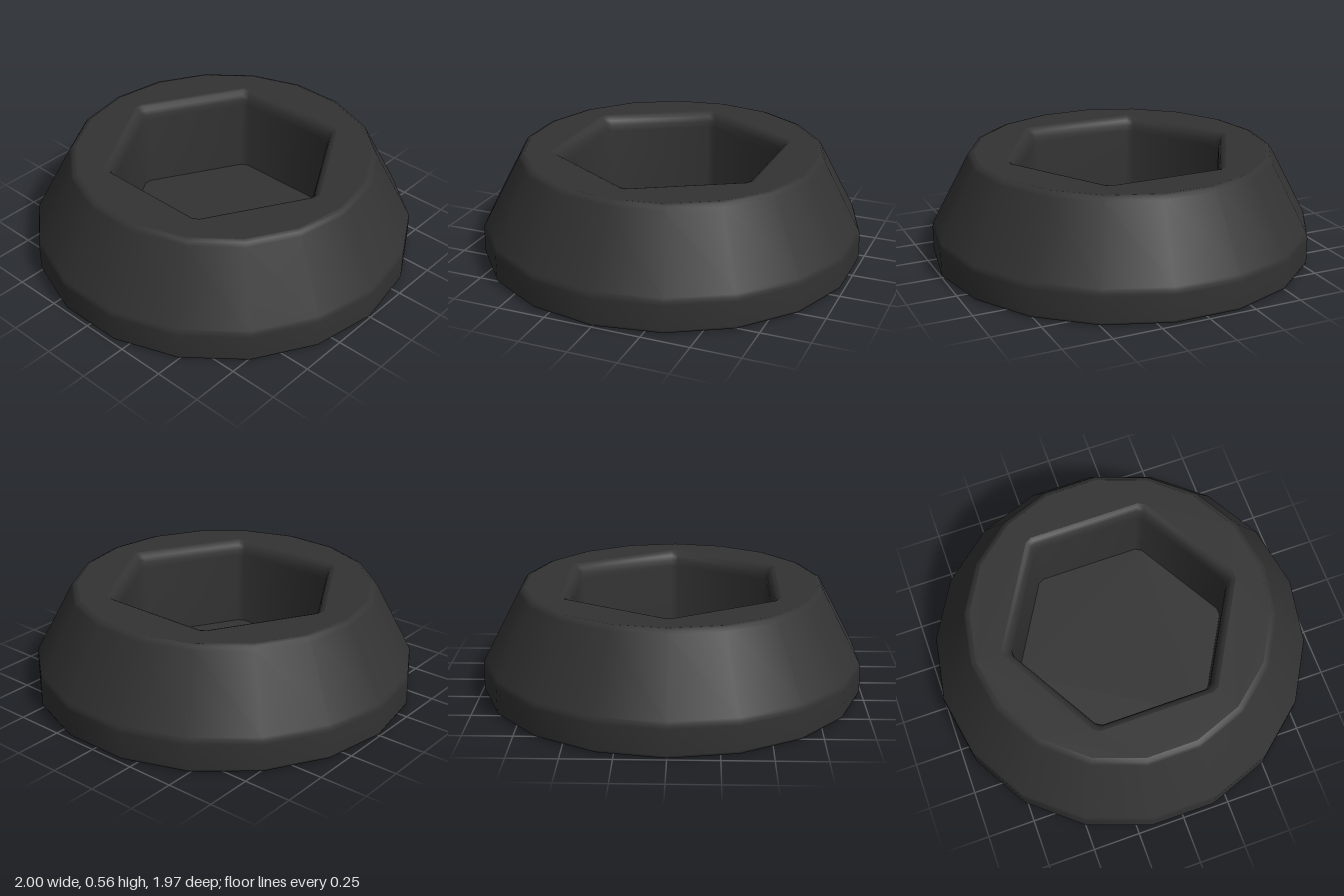
import * as THREE from 'three';
import { toCreasedNormals } from 'three/addons/utils/BufferGeometryUtils.js';

const SIDES = 18;
const TOP = 0.565;
const FLOOR = 0.08;

// Hexagon outline with corners on the x axis and slightly cut corners
function hexOutline(r, cut = 0.022) {
  const corner = (k) => new THREE.Vector2(Math.cos(k * Math.PI / 3), Math.sin(k * Math.PI / 3)).multiplyScalar(r);
  const points = [];
  for (let k = 0; k < 6; k++) {
    for (const n of [k - 1, k + 1]) points.push(corner(k).lerp(corner(n), cut / r));
  }
  return points;
}

// Joins hexagon sections, listed top to bottom, into walls that face inward
function hexWalls(sections) {
  const positions = [], index = [];
  const n = 12;
  sections.forEach(([r, y]) => hexOutline(r).forEach((p) => positions.push(p.x, y, -p.y)));
  for (let s = 0; s < sections.length - 1; s++) {
    for (let i = 0; i < n; i++) {
      const a = s * n + i, b = s * n + (i + 1) % n;
      index.push(a, b, a + n, b, b + n, a + n);
    }
  }
  const geometry = new THREE.BufferGeometry();
  geometry.setAttribute('position', new THREE.Float32BufferAttribute(positions, 3));
  geometry.setIndex(index);
  return toCreasedNormals(geometry, 0.7);
}

export function createModel() {
  const group = new THREE.Group();
  const material = new THREE.MeshStandardMaterial({ color: 0x333333 });
  const add = (name, geometry, y = 0) => {
    const mesh = new THREE.Mesh(geometry, material);
    mesh.name = name;
    mesh.position.y = y;
    group.add(mesh);
  };

  // Outer wall: short upright band, then a taper, with softened edges
  const profile = [
    [0.98, 0], [0.994, 0.006], [1, 0.02], [1, 0.15], [0.997, 0.168], [0.99, 0.185],
    [0.803, 0.54], [0.79, 0.558], [0.77, TOP],
  ].map(([x, y]) => new THREE.Vector2(x, y));
  add('outerWall', new THREE.LatheGeometry(profile, SIDES, Math.PI / 2));

  // Flat underside
  add('underside', new THREE.CircleGeometry(0.98, SIDES).rotateX(Math.PI / 2));

  // Flat top ring around the socket
  const ring = new THREE.Shape();
  for (let i = 0; i < SIDES; i++) {
    const a = i * 2 * Math.PI / SIDES;
    ring[i ? 'lineTo' : 'moveTo'](0.77 * Math.cos(a), 0.77 * Math.sin(a));
  }
  ring.closePath();
  ring.holes.push(new THREE.Path(hexOutline(0.64)));
  add('topRing', new THREE.ShapeGeometry(ring).rotateX(-Math.PI / 2), TOP);

  // Socket: rounded lip, then straight walls
  const sections = [];
  for (let i = 0; i <= 4; i++) {
    const a = i / 4 * Math.PI / 2;
    sections.push([0.64 - 0.05 * Math.sin(a), TOP - 0.08 * (1 - Math.cos(a))]);
  }
  sections.push([0.59, FLOOR]);
  add('socketWalls', hexWalls(sections));

  // Socket floor
  add('socketFloor', new THREE.ShapeGeometry(new THREE.Shape(hexOutline(0.59))).rotateX(-Math.PI / 2), FLOOR);

  return group;
}
